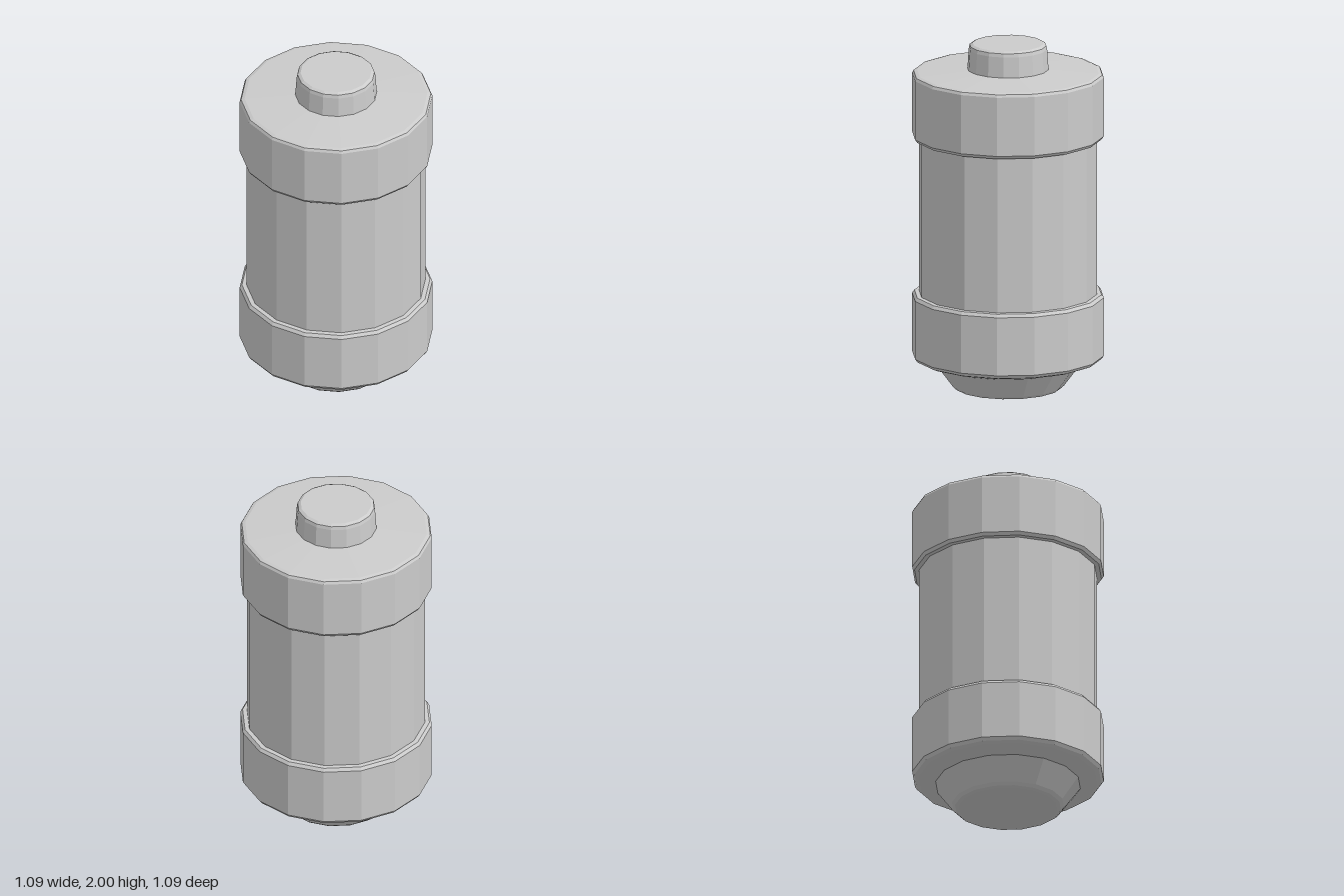
import * as THREE from 'three';

const SIDES = 16;

export function createModel() {
  const group = new THREE.Group();
  const material = new THREE.MeshStandardMaterial({ color: 0xcccccc, flatShading: true });

  // Turns a profile of [radius, height] pairs, listed from bottom to top
  function turned(name, profile) {
    const points = profile.map(([r, y]) => new THREE.Vector2(r, y));
    const mesh = new THREE.Mesh(new THREE.LatheGeometry(points, SIDES), material);
    mesh.name = name;
    group.add(mesh);
  }

  // Tapered foot with a bevelled rim
  turned('foot', [[0, 0.005], [0.28, 0.005], [0.3, 0.01], [0.318, 0.026], [0.41, 0.15]]);

  // Lower band, sloping in to the foot
  turned('lowerBand', [
    [0.41, 0.15], [0.505, 0.176], [0.53, 0.186], [0.543, 0.204],
    [0.543, 0.54], [0.53, 0.558], [0.505, 0.56],
  ]);

  // Main barrel
  turned('barrel', [[0.505, 0.56], [0.505, 1.455]]);

  // Upper band with a gently sloping shoulder
  turned('upperBand', [
    [0.505, 1.455], [0.53, 1.457], [0.543, 1.475],
    [0.543, 1.815], [0.535, 1.83], [0.515, 1.836], [0.23, 1.853],
  ]);

  // Top knob with a bevelled rim
  turned('knob', [[0.23, 1.853], [0.222, 1.97], [0.217, 1.99], [0.2, 2], [0, 2]]);

  return group;
}
